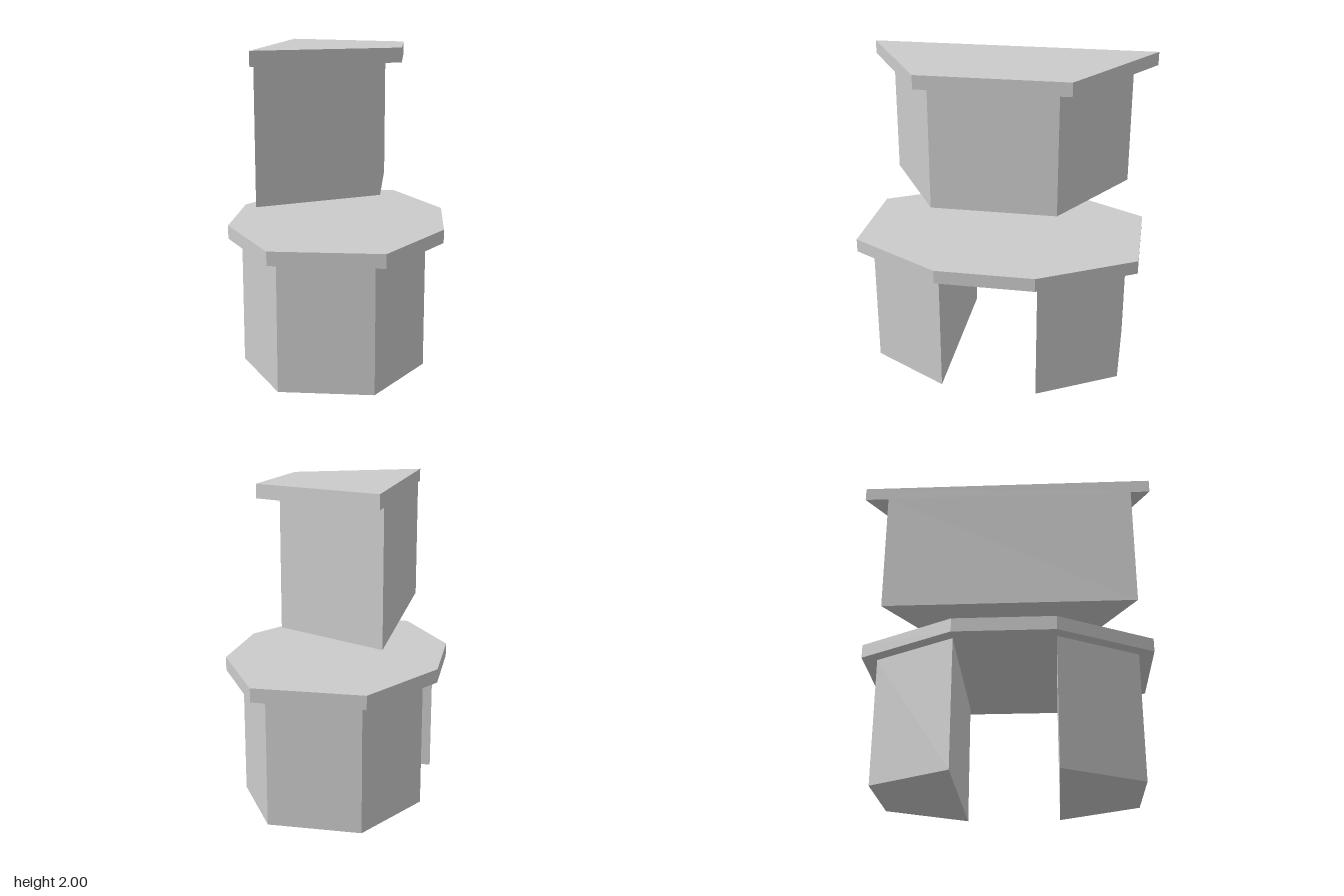
import * as THREE from 'three';

const material = new THREE.MeshStandardMaterial({ color: 0xcccccc, flatShading: true });

// Vertical prism from a plan outline of [x, z] points, between two heights
function prism(name, plan, y0, y1) {
  const shape = new THREE.Shape(plan.map(([x, z]) => new THREE.Vector2(x, -z)));
  const geometry = new THREE.ExtrudeGeometry(shape, { depth: y1 - y0, bevelEnabled: false });
  geometry.rotateX(-Math.PI / 2).translate(0, y0, 0);
  const mesh = new THREE.Mesh(geometry, material);
  mesh.name = name;
  return mesh;
}

export function createModel() {
  const group = new THREE.Group();
  group.name = 'cabinetSet';

  // Base cabinets: trapezoids whose wide sides face each other
  for (const [name, s] of [['frontBaseCabinet', 1], ['backBaseCabinet', -1]]) {
    const plan = [[-0.587, 0.305], [-0.298, 0.805], [0.275, 0.805], [0.562, 0.305]];
    group.add(prism(name, plan.map(([x, z]) => [x, z * s]), 0, 0.8));
  }

  // Eight-sided countertop bridging both base cabinets
  const corners = [[0.675, 0.307], [0.338, 0.895]];
  const half = [...corners, ...corners.map(([x, z]) => [-x, z]).reverse()];
  group.add(prism('countertop', [...half, ...half.map(([x, z]) => [-x, -z])], 0.8, 0.885));

  // Wall cabinet with its flat back towards -x
  group.add(prism('wallCabinet',
    [[-0.405, -0.78], [-0.405, 0.81], [0.282, 0.413], [0.282, -0.383]], 1.12, 1.915));

  // Overhanging top panel of the wall cabinet
  group.add(prism('wallCabinetTop',
    [[-0.405, -0.932], [-0.405, 0.932], [0.402, 0.467], [0.402, -0.467]], 1.915, 2));

  return group;
}
